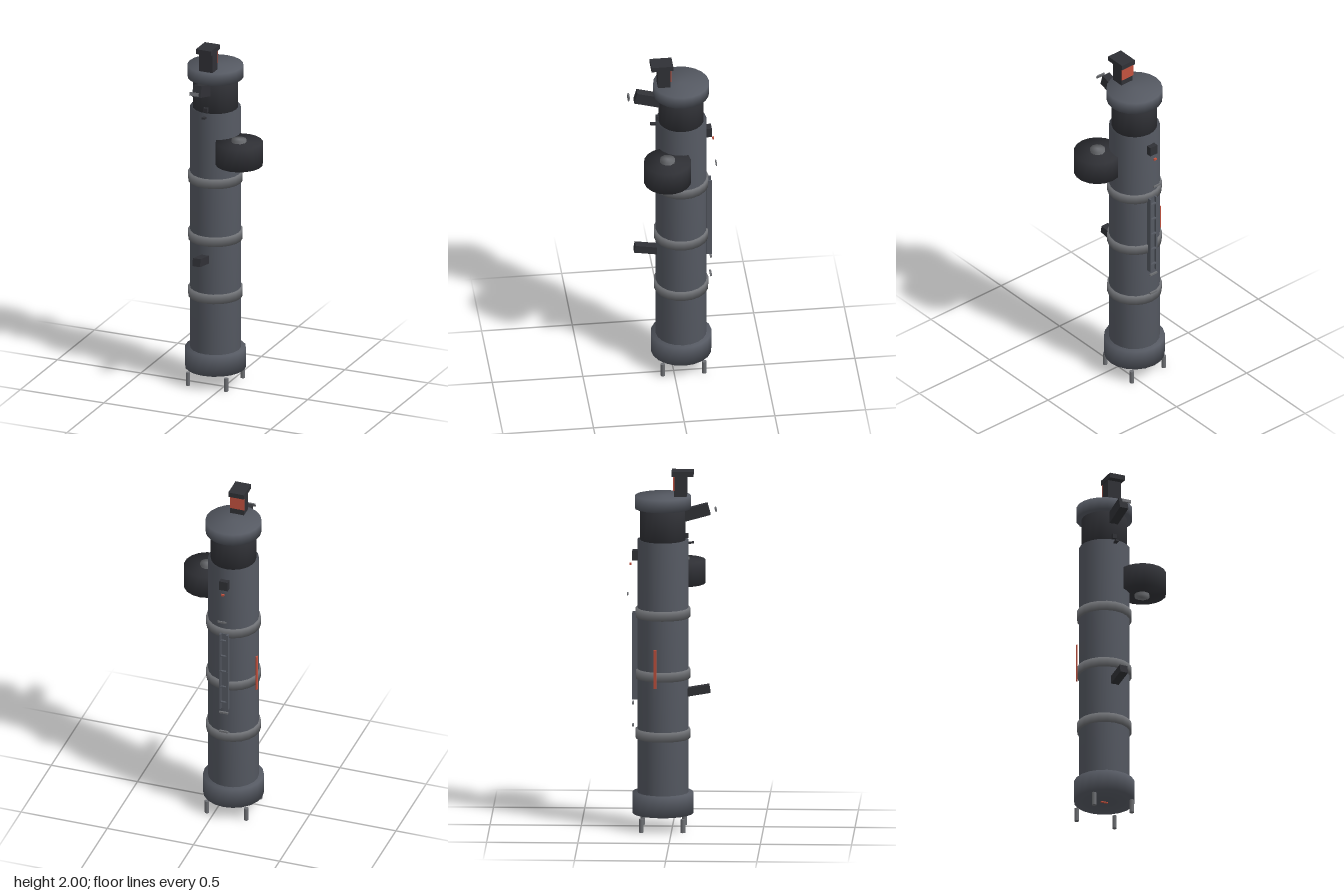
import * as THREE from 'three';
import { mergeVertices } from 'three/addons/utils/BufferGeometryUtils.js';

const CX = -0.075, CZ = -0.05; // axis of the tower

const mat = (color) => new THREE.MeshStandardMaterial({ color });
const slate = mat(0x555962), dark = mat(0x303136), steel = mat(0x6e7074), red = mat(0xc4523f);

export function createModel() {
  const model = new THREE.Group();

  const add = (name, geometry, material, x, y, z) => {
    const mesh = new THREE.Mesh(geometry, material);
    mesh.name = name;
    mesh.position.set(x, y, z);
    model.add(mesh);
    return mesh;
  };

  // Drum with normals blended over its rims
  const drum = (name, r, y0, y1, material, sides = 20, x = CX, z = CZ) => {
    let g = new THREE.CylinderGeometry(r, r, y1 - y0, sides);
    g.deleteAttribute('uv');
    g.deleteAttribute('normal');
    g = mergeVertices(g);
    g.computeVertexNormals();
    return add(name, g, material, x, (y0 + y1) / 2, z);
  };

  const box = (name, w, h, d, material, x, y, z, tilt = 0) => {
    const mesh = add(name, new THREE.BoxGeometry(w, h, d), material, x, y, z);
    mesh.rotation.x = tilt;
    return mesh;
  };

  // Tower: base, shaft, hoops, neck and lid
  drum('base', 0.167, 0.09, 0.207, slate);
  drum('shaft', 0.14, 0.2, 1.615, slate);
  for (const y of [0.535, 0.87, 1.21]) drum('hoop', 0.15, y - 0.026, y + 0.026, steel);
  drum('neck', 0.125, 1.61, 1.795, dark);
  drum('lid', 0.154, 1.79, 1.86, slate);

  // Four short feet below the base
  for (const sx of [-1, 1]) {
    for (const sz of [-1, 1]) {
      add('foot', new THREE.CylinderGeometry(0.013, 0.013, 0.075, 8), steel,
        CX + sx * 0.114, 0.0375, CZ + sz * 0.114);
    }
  }
  box('undersideMark', 0.04, 0.005, 0.012, red, CX, 0.087, CZ);

  // Side drum with a hub through it
  drum('sideDrum', 0.13, 1.337, 1.468, dark, 18, 0.11, 0.046);
  drum('sideDrumHub', 0.042, 1.322, 1.483, steel, 10, 0.108, 0.046);

  // Chimney with a coloured back panel
  box('chimney', 0.08, 0.12, 0.07, dark, -0.074, 1.915, 0.047);
  box('chimneyPanel', 0.082, 0.075, 0.006, red, -0.076, 1.932, 0.011);
  box('chimneyCap', 0.09, 0.028, 0.12, dark, -0.073, 1.986, 0.058);

  // Tilted boxes on the front
  box('upperFrontBox', 0.05, 0.065, 0.16, dark, CX, 1.767, 0.125, -0.27);
  box('upperFrontPlate', 0.052, 0.02, 0.007, steel, CX, 1.785, 0.24, -0.3);
  box('lowerFrontBox', 0.046, 0.045, 0.13, dark, CX, 0.775, 0.143, -0.17);

  // Small fitting at the foot of the neck
  box('neckFitting', 0.025, 0.025, 0.02, dark, CX, 1.637, 0.08);
  box('neckPin', 0.018, 0.01, 0.03, dark, CX, 1.598, 0.105, -0.12);

  // Back box, ladder and loose rungs
  box('backBox', 0.05, 0.055, 0.03, dark, CX, 1.528, -0.202);
  for (const s of [-1, 1]) box('ladderRail', 0.01, 0.485, 0.028, slate, CX + s * 0.021, 0.967, -0.203);
  box('ladderBacking', 0.04, 0.485, 0.012, slate, CX, 0.967, -0.197);
  for (let i = 0; i < 5; i++) box('ladderRung', 0.05, 0.008, 0.012, slate, CX, 0.77 + i * 0.1, -0.212);
  for (const y of [0.58, 0.703]) box('looseRung', 0.05, 0.01, 0.01, steel, CX, y, -0.213);
  box('looseRung', 0.05, 0.01, 0.007, steel, CX, 1.31, -0.243);
  box('backMark', 0.016, 0.01, 0.01, red, CX, 1.477, -0.227);

  // Coloured strip on the side
  const strip = box('sideStrip', 0.007, 0.215, 0.016, red, -0.223, 0.917, -0.088);
  strip.rotation.y = -0.26;

  return model;
}
